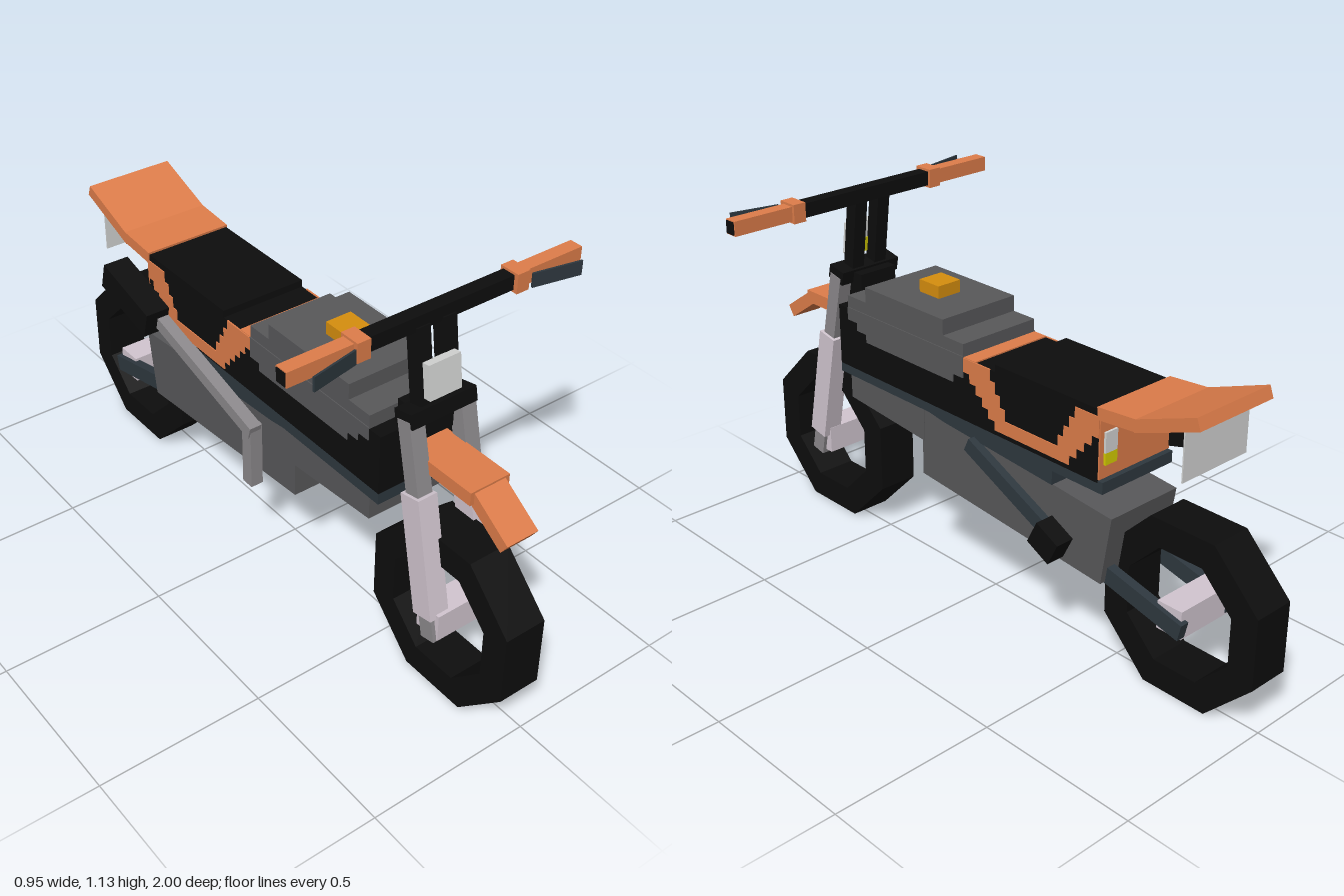
import * as THREE from 'three';

const mat = (name, color, side = THREE.FrontSide) => {
  const m = new THREE.MeshStandardMaterial({ color, side });
  m.name = name;
  return m;
};

export function createModel() {
  const root = new THREE.Group();
  root.name = 'motorcycle';
  const orange = mat('orange paint', 0xde7d4a);
  const black = mat('black', 0x0d0d0d);
  const grey = mat('dark grey', 0x58585a);
  const slate = mat('slate', 0x2e383f);
  const steel = mat('steel', 0x8c898c);
  const silver = mat('silver', 0xd2c6d0);
  const pale = mat('pale lens', 0xd4d5d4);
  const yellow = mat('yellow lamp', 0xd6cd00);
  const amber = mat('amber', 0xd68e0e);

  const CX = -0.0225;              // centre plane of the frame
  const L = 0.115, R = -0.16;      // body sides

  const add = (name, geo, material) => {
    const m = new THREE.Mesh(geo, material);
    m.name = name;
    root.add(m);
    return m;
  };
  // axis-aligned box from ranges
  const box = (name, m, x0, x1, y0, y1, z0, z1) => {
    const mesh = add(name, new THREE.BoxGeometry(x1 - x0, y1 - y0, z1 - z0), m);
    mesh.position.set((x0 + x1) / 2, (y0 + y1) / 2, (z0 + z1) / 2);
    return mesh;
  };
  // bar leaning in the side plane, a and b are [z, y]
  const bar = (name, m, x0, x1, a, b, thick) => {
    const dz = b[0] - a[0], dy = b[1] - a[1];
    const mesh = add(name, new THREE.BoxGeometry(x1 - x0, thick, Math.hypot(dz, dy)), m);
    mesh.position.set((x0 + x1) / 2, (a[1] + b[1]) / 2, (a[0] + b[0]) / 2);
    mesh.rotation.x = -Math.atan2(dy, dz);
    return mesh;
  };
  // side outline of [z, y] points extruded across x
  const prism = (name, m, x0, x1, pts, hole) => {
    const v = p => p.map(q => new THREE.Vector2(q[0], q[1]));
    const shape = new THREE.Shape(v(pts));
    if (hole) shape.holes.push(new THREE.Path(v(hole)));
    const geo = new THREE.ExtrudeGeometry(shape, { depth: x1 - x0, bevelEnabled: false });
    geo.rotateY(-Math.PI / 2).translate(x1, 0, 0);
    return add(name, geo, m);
  };
  // staircase between two points: down or up first, then along
  const stairs = (a, b, n, riseFirst) => {
    const out = [];
    const dz = (b[0] - a[0]) / n, dy = (b[1] - a[1]) / n;
    for (let i = 0; i < n; i++) {
      const z = a[0] + dz * i, y = a[1] + dy * i;
      out.push([z, y], riseFirst ? [z, y + dy] : [z + dz, y]);
    }
    out.push(b);
    return out;
  };

  // Wheels: octagonal rings with axle blocks
  const octagon = (cz, cy, apothem) => Array.from({ length: 8 }, (_, i) => {
    const a = (i + 0.5) * Math.PI / 4, r = apothem / Math.cos(Math.PI / 8);
    return [cz + r * Math.cos(a), cy + r * Math.sin(a)];
  });
  for (const [n, cz] of [['front', 0.742], ['rear', -0.742]]) {
    prism(n + 'Tyre', black, -0.088, 0.042, octagon(cz, 0.26, 0.258), octagon(cz, 0.26, 0.175));
    box(n + 'Axle', silver, -0.12, 0.075, 0.218, 0.303, cz - 0.042, cz + 0.042);
  }

  // Front fork, mirrored about the frame centre
  for (const s of [1, -1]) {
    const leg = (name, m, inner, outer, a, b, t) => {
      const p = CX + s * inner, q = CX + s * outer;
      bar(name, m, Math.min(p, q), Math.max(p, q), a, b, t);
    };
    leg('forkFoot', steel, 0.061, 0.109, [0.757, 0.21], [0.738, 0.30], 0.05);
    leg('forkLower', silver, 0.055, 0.118, [0.741, 0.283], [0.667, 0.642], 0.07);
    leg('forkUpper', steel, 0.061, 0.109, [0.668, 0.635], [0.62, 0.85], 0.048);
    leg('handlebarPost', black, 0.021, 0.064, [0.616, 0.84], [0.582, 1.09], 0.042);
    leg('swingArm', slate, 0.083, 0.112, [-0.45, 0.325], [-0.79, 0.247], 0.052);
    // Grips, clamps and levers
    const side = (name, m, x0, x1, ...r) =>
      box(name, m, s > 0 ? x0 : -x1, s > 0 ? x1 : -x0, ...r);
    side('grip', orange, 0.24, 0.472, 1.08, 1.124, 0.556, 0.597);
    side('gripEnd', black, 0.471, 0.475, 1.083, 1.121, 0.56, 0.594);
    side('gripClamp', orange, 0.235, 0.276, 1.074, 1.131, 0.547, 0.61);
    const lever = side('lever', slate, 0.282, 0.43, 1.078, 1.12, 0.624, 0.63);
    lever.rotation.y = s * -0.2;
  }
  box('handlebar', black, -0.24, 0.24, 1.081, 1.124, 0.556, 0.597);
  bar('upperYoke', black, -0.13, 0.085, [0.623, 0.832], [0.614, 0.874], 0.065);
  box('steeringHead', black, -0.09, 0.042, 0.76, 0.86, 0.55, 0.62);

  // Headlight
  const lens = bar('headlight', pale, -0.075, 0.029, [0.64, 0.90], [0.627, 1.0], 0.025);
  const lamp = new THREE.Mesh(new THREE.BoxGeometry(0.05, 0.004, 0.045), yellow);
  lamp.name = 'headlightLamp';
  lamp.position.set(-0.027, lens.rotation.x < 0 ? 0.0135 : -0.0135, -0.026);
  lens.add(lamp);

  // Front mudguard
  bar('frontMudguard', orange, -0.088, 0.042, [0.56, 0.715], [0.83, 0.715], 0.04);
  bar('frontMudguardTip', orange, -0.075, 0.028, [0.815, 0.715], [0.945, 0.627], 0.04);

  // Body, tank and seat
  box('body', black, R, L, 0.59, 0.78, -0.51, 0.57);
  box('bodyRail', slate, R, L, 0.562, 0.597, -0.528, 0.57);
  box('tank', grey, R, L, 0.77, 0.822, 0.01, 0.525);
  box('tankTop', grey, R, L, 0.82, 0.87, 0.095, 0.44);
  box('fuelCap', amber, -0.065, 0.018, 0.868, 0.908, 0.222, 0.306);
  box('seat', black, R, L, 0.775, 0.802, -0.51, -0.12);
  box('seatFrontTrim', orange, R, L, 0.776, 0.784, -0.04, 0.008);

  // Stepped side panels on both sides
  const tankPanel = [
    ...stairs([0.525, 0.745], [0.44, 0.695], 2, false),
    ...stairs([0.095, 0.695], [0.01, 0.745], 2, false),
    [0.01, 0.785], [0.525, 0.785],
  ];
  const trim = [
    [0.008, 0.782], ...stairs([0.008, 0.74], [-0.12, 0.605], 5, false),
    ...stairs([-0.38, 0.605], [-0.512, 0.75], 5, false), [-0.512, 0.782],
    ...stairs([-0.425, 0.782], [-0.345, 0.645], 4, true),
    ...stairs([-0.16, 0.645], [-0.08, 0.782], 4, true),
  ];
  for (const [x0, x1] of [[L - 0.002, L + 0.003], [R - 0.003, R + 0.002]]) {
    prism('tankSidePanel', grey, x0, x1, tankPanel);
    prism('seatSideTrim', orange, x0, x1, trim);
  }

  // Tail: mudguard, rear panel, lamp and plate
  bar('tailBase', orange, R - 0.003, L + 0.003, [-0.505, 0.791], [-0.64, 0.802], 0.036);
  bar('tailTip', orange, R - 0.003, L + 0.003, [-0.625, 0.797], [-0.835, 0.875], 0.036);
  box('rearPanel', orange, R, L, 0.6, 0.78, -0.515, -0.508);
  box('tailLens', pale, 0.055, 0.1, 0.675, 0.735, -0.522, -0.514);
  box('tailLamp', yellow, 0.055, 0.1, 0.64, 0.675, -0.522, -0.514);
  box('rearPlate', pale, -0.148, 0.102, 0.69, 0.835, -0.782, -0.778);

  // Engine block and front cradle
  prism('engine', grey, -0.15, 0.108,
    [[0.2, 0.562], [0.2, 0.345], [-0.525, 0.286], [-0.558, 0.498], [-0.2, 0.53]]);
  prism('frontCradle', grey, -0.155, 0.11, [[0.53, 0.565], [0.53, 0.485], [0.19, 0.457], [0.19, 0.565]]);
  prism('underRail', slate, -0.157, 0.112, [[0.2, 0.565], [0.1, 0.55], [-0.34, 0.517], [-0.34, 0.565]]);

  // Kick lever with its pedal on the left
  bar('kickLever', slate, 0.1, 0.134, [-0.02, 0.53], [-0.345, 0.378], 0.045);
  bar('pedal', black, 0.105, 0.168, [-0.322, 0.386], [-0.402, 0.346], 0.08);

  // Exhaust on the right
  box('exhaustDownpipe', steel, -0.195, -0.155, 0.297, 0.51, 0.008, 0.05);
  bar('exhaustPipe', steel, -0.2, -0.16, [0.05, 0.492], [-0.45, 0.63], 0.04);
  bar('muffler', black, -0.241, -0.158, [-0.416, 0.626], [-0.65, 0.689], 0.087);

  return root;
}
